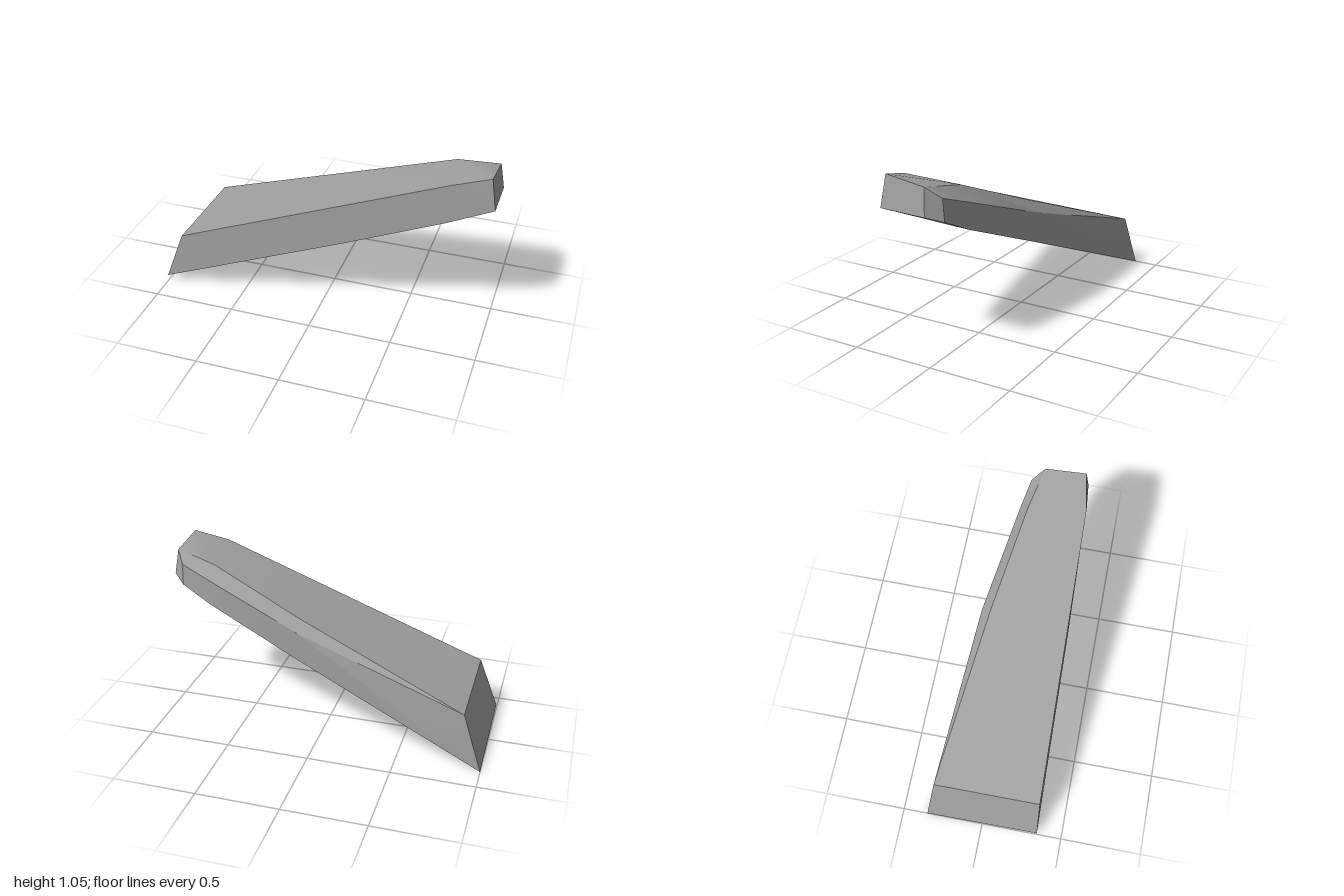
import * as THREE from 'three';
import { toCreasedNormals } from 'three/addons/utils/BufferGeometryUtils.js';

// Cross-sections from root to tip: bottom front, top front, top back, upper back, lower back
const SECTIONS = [
  [[-1, 0.04, 0.347], [-0.88, 0.355, 0.336], [-0.88, 0.342, -0.31], [-0.88, 0.342, -0.31], [-1, 0, -0.35]],
  [[0.15, 0.503, 0.318], [0.15, 0.756, 0.312], [0.15, 0.737, -0.155], [0.15, 0.67, -0.215], [0.15, 0.485, -0.205]],
  [[0.74, 0.748, 0.297], [0.76, 0.993, 0.298], [0.72, 0.968, -0.045], [0.74, 0.885, -0.1], [0.74, 0.73, -0.105]],
  [[1, 0.865, 0.28], [0.968, 1.047, 0.26], [0.975, 1.013, 0.014], [0.92, 0.95, -0.06], [0.92, 0.82, -0.07]],
  [[1, 0.865, 0.28], [0.968, 1.047, 0.26], [0.975, 1.013, 0.014], [0.975, 1.013, 0.014], [1, 0.857, 0]],
];

// Skin the sections and close both ends, leaving out collapsed triangles
function loft(sections) {
  const positions = [];
  const tri = (...corners) => {
    const [a, b, c] = corners.map((p) => new THREE.Vector3(...p));
    if (new THREE.Triangle(a, b, c).getArea() > 1e-6) positions.push(...corners.flat());
  };
  const n = sections[0].length;
  for (let i = 0; i < sections.length - 1; i++) {
    for (let j = 0; j < n; j++) {
      const k = (j + 1) % n;
      const a = sections[i][j], b = sections[i][k];
      const c = sections[i + 1][k], d = sections[i + 1][j];
      tri(a, d, b);
      tri(d, c, b);
    }
  }
  const root = sections[0], tip = sections[sections.length - 1];
  for (let j = 1; j < n - 1; j++) {
    tri(root[0], root[j], root[j + 1]);
    tri(tip[0], tip[j + 1], tip[j]);
  }
  const geometry = new THREE.BufferGeometry();
  geometry.setAttribute('position', new THREE.Float32BufferAttribute(positions, 3));
  return toCreasedNormals(geometry, 0.5);
}

export function createModel() {
  const grey = new THREE.MeshStandardMaterial({ color: 0xa0a0a0 });
  grey.name = 'grey';

  // Tapered, slanting beam with a chamfered back and tip
  const beam = new THREE.Mesh(loft(SECTIONS), grey);
  beam.name = 'taperedBeam';

  const model = new THREE.Group();
  model.name = 'slantedBeam';
  model.add(beam);
  return model;
}
